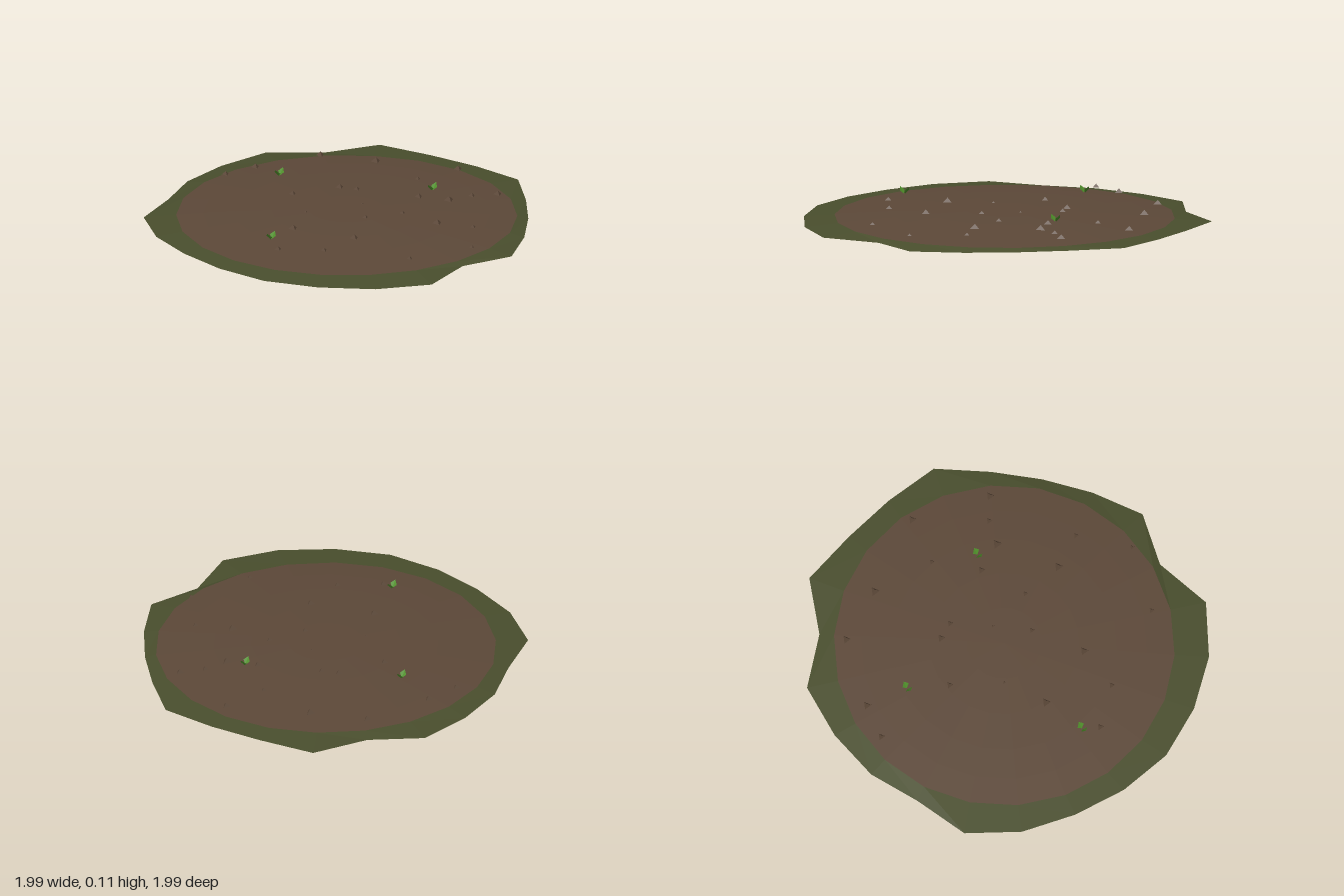
import * as THREE from 'three';

const SIDES = 22;
const DIRT_R = 0.875, EDGE_Y = 0.016, RISE = 0.035;

const mat = (name, color, side = THREE.FrontSide) =>
  Object.assign(new THREE.MeshStandardMaterial({ color, side, flatShading: true }), { name });

// Joins closed loops of points (inner to outer) into a sheet that faces up
function sheet(loops) {
  const n = loops[0].length, index = [];
  for (let k = 0; k < loops.length - 1; k++) {
    for (let i = 0; i < n; i++) {
      const j = (i + 1) % n, a = k * n, b = a + n;
      index.push(a + i, a + j, b + i, a + j, b + j, b + i);
    }
  }
  const geo = new THREE.BufferGeometry();
  geo.setAttribute('position', new THREE.Float32BufferAttribute(loops.flat(2), 3));
  geo.setIndex(index);
  geo.computeVertexNormals();
  return geo;
}

// One loop from a radius rule and a height rule
const loop = (radius, height, cz = 0) => Array.from({ length: SIDES }, (_, i) => {
  const a = (i / SIDES) * Math.PI * 2;
  return [radius(i) * Math.cos(a), height(a), radius(i) * Math.sin(a) + cz];
});

export function createModel() {
  const model = new THREE.Group();
  model.name = 'dirtPatch';
  const dirt = mat('dirt brown', 0x5c4838, THREE.DoubleSide);
  const grass = mat('grass green', 0x494e2d, THREE.DoubleSide);
  const leaf = mat('sprout green', 0x4f8f2a, THREE.DoubleSide);
  const add = (name, geo, material, parent = model) => {
    const mesh = new THREE.Mesh(geo, material);
    mesh.name = name;
    parent.add(mesh);
    return mesh;
  };

  // Low soil mound
  const soilLoops = [0.0001, 0.22, 0.44, 0.66, 0.84, 1].map((t) =>
    loop(() => DIRT_R * t, () => EDGE_Y + RISE * (1 - t * t), -0.01));
  add('soilMound', sheet(soilLoops), dirt);

  // Ragged grass border
  const radii = [0.99, 1.03, 0.948, 0.924, 0.944, 1.002, 0.906, 1.053, 1.044, 1.026, 1.02,
    0.997, 0.993, 1.023, 1.049, 0.963, 0.987, 1.006, 1.046, 0.958, 1.072, 0.998];
  const rim = loop((i) => radii[i], (a) => 0.008 * Math.cos(a) ** 2);
  add('grassBorder', sheet([soilLoops.at(-1), rim]), grass);

  // Three-sided soil clods: x, z, radius
  const clods = [
    [-0.02, -0.82, 0.021], [0.16, -0.775, 0.024], [0.51, -0.64, 0.024], [0.63, -0.365, 0.027],
    [0.825, 0.025, 0.024], [0.58, 0.335, 0.019], [0.685, 0.42, 0.024], [0.245, 0.64, 0.016],
    [0.02, 0.83, 0.014], [-0.315, 0.7, 0.016], [-0.66, 0.105, 0.02], [-0.01, -0.37, 0.022],
    [0.22, -0.25, 0.026], [0.255, -0.165, 0.022], [-0.385, -0.035, 0.027], [-0.17, -0.14, 0.015],
    [0.11, 0, 0.016], [0.39, 0.14, 0.022], [0.455, 0.29, 0.028], [0.165, 0.465, 0.027],
    [-0.03, 0.145, 0.024], [-0.28, 0.29, 0.025], [-0.515, 0.29, 0.018], [0.15, 0.24, 0.02],
    [0.58, -0.035, 0.016],
  ];
  const clodGeo = new THREE.ConeGeometry(1, 0.9, 3).rotateY(Math.PI / 2);
  const clodGroup = new THREE.Group();
  clodGroup.name = 'soilClods';
  model.add(clodGroup);
  for (const [x, z, r] of clods) {
    const clod = add('soilClod', clodGeo, dirt, clodGroup);
    clod.scale.setScalar(r);
    clod.position.set(x, 0.043 + r * 0.45, z);
  }

  // Sprouts: a pair of diamond leaves opening to the sides
  const leafGeo = new THREE.BufferGeometry();
  leafGeo.setAttribute('position', new THREE.Float32BufferAttribute(
    [0.003, 0.068, 0, 0.014, 0.087, 0.02, 0.03, 0.106, 0, 0.014, 0.087, -0.02], 3));
  leafGeo.setIndex([0, 1, 2, 0, 2, 3]);
  leafGeo.computeVertexNormals();
  for (const [x, z] of [[0.1, -0.56], [-0.62, 0.02], [0.46, 0.17]]) {
    const sprout = new THREE.Group();
    sprout.name = 'sprout';
    sprout.position.set(x, 0, z);
    for (const turn of [0, Math.PI]) add('leaf', leafGeo, leaf, sprout).rotation.y = turn;
    model.add(sprout);
  }
  return model;
}
